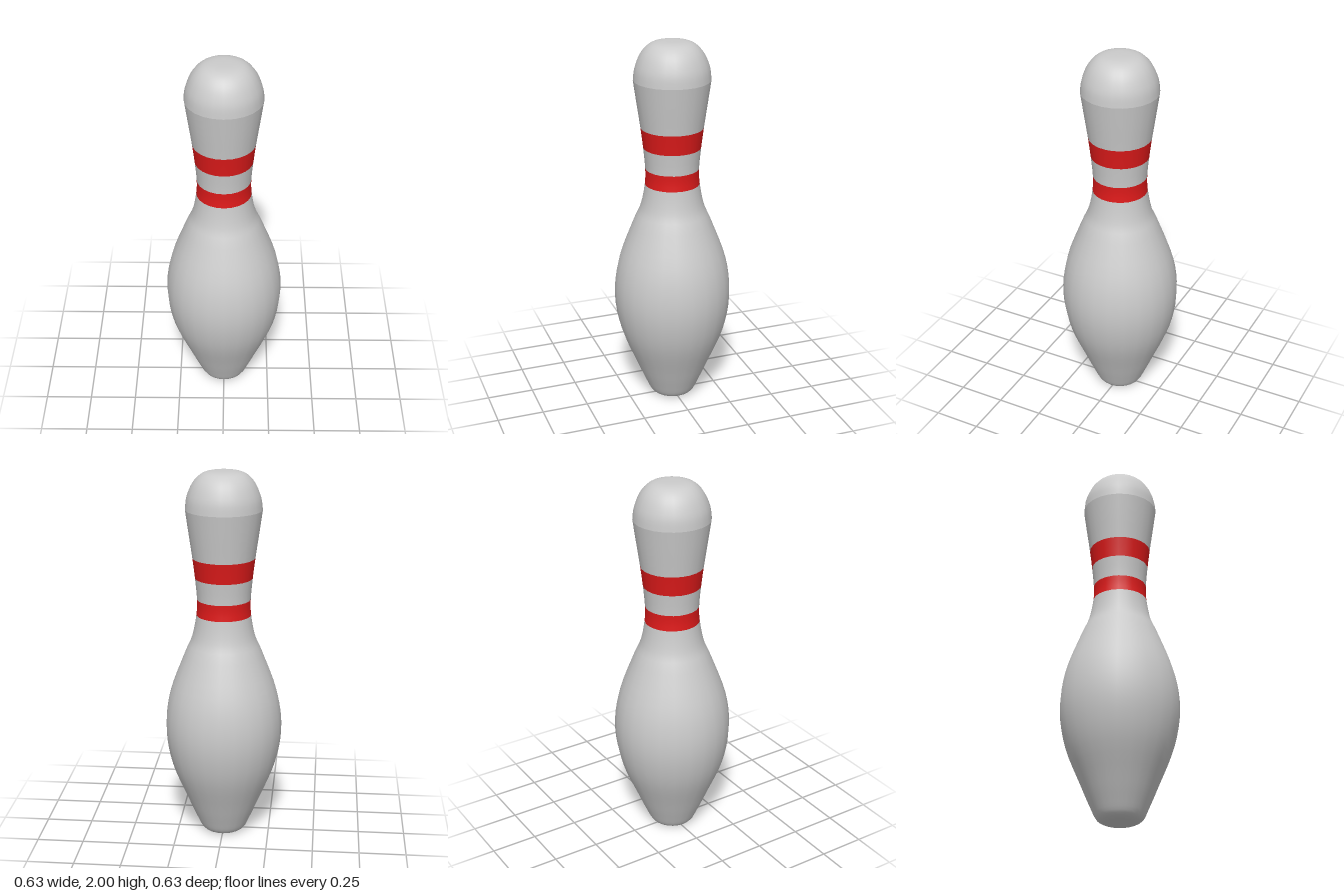
import * as THREE from 'three';

const SIDES = 24;

// Body profile (radius, height) from the base up to the head's widest ring
const bodyCurve = new THREE.SplineCurve([
  [0.085, 0], [0.12, 0.022], [0.153, 0.09], [0.2, 0.2], [0.28, 0.4], [0.313, 0.6],
  [0.29, 0.8], [0.21, 1.02], [0.168, 1.12], [0.145, 1.24], [0.142, 1.325],
  [0.152, 1.44], [0.165, 1.548], [0.184, 1.68], [0.201, 1.8],
].map(([r, y]) => new THREE.Vector2(r, y)));

// Rounded cap of the head
const headCurve = new THREE.SplineCurve([
  [0.201, 1.8], [0.192, 1.865], [0.162, 1.935], [0.12, 1.98], [0.07, 1.997], [0, 2],
].map(([r, y]) => new THREE.Vector2(r, y)));

// Samples a curve between two of its control points
function section(curve, from, to, steps = 4) {
  const spans = curve.points.length - 1;
  const count = (to - from) * steps;
  return Array.from({ length: count + 1 }, (_, i) => {
    const p = curve.getPoint((from + i / steps) / spans);
    p.x = Math.max(p.x, 0);
    return p;
  });
}

export function createModel() {
  const model = new THREE.Group();
  model.name = 'bowlingPin';
  const grey = new THREE.MeshStandardMaterial({ color: 0xcccccc });
  const red = new THREE.MeshStandardMaterial({ color: 0xdd1a1a });

  function addLathe(name, points, material) {
    const mesh = new THREE.Mesh(new THREE.LatheGeometry(points, SIDES), material);
    mesh.name = name;
    model.add(mesh);
  }

  // Stacked sections of the body, with the two stripes flush in the neck
  addLathe('belly', section(bodyCurve, 0, 9), grey);
  addLathe('lowerStripe', section(bodyCurve, 9, 10), red);
  addLathe('neck', section(bodyCurve, 10, 11), grey);
  addLathe('upperStripe', section(bodyCurve, 11, 12), red);
  addLathe('upperNeck', section(bodyCurve, 12, 14), grey);
  addLathe('head', section(headCurve, 0, 5), grey);

  // Flat underside
  const base = new THREE.Mesh(new THREE.CircleGeometry(0.085, SIDES), grey);
  base.name = 'base';
  base.rotation.x = Math.PI / 2;
  model.add(base);

  return model;
}
